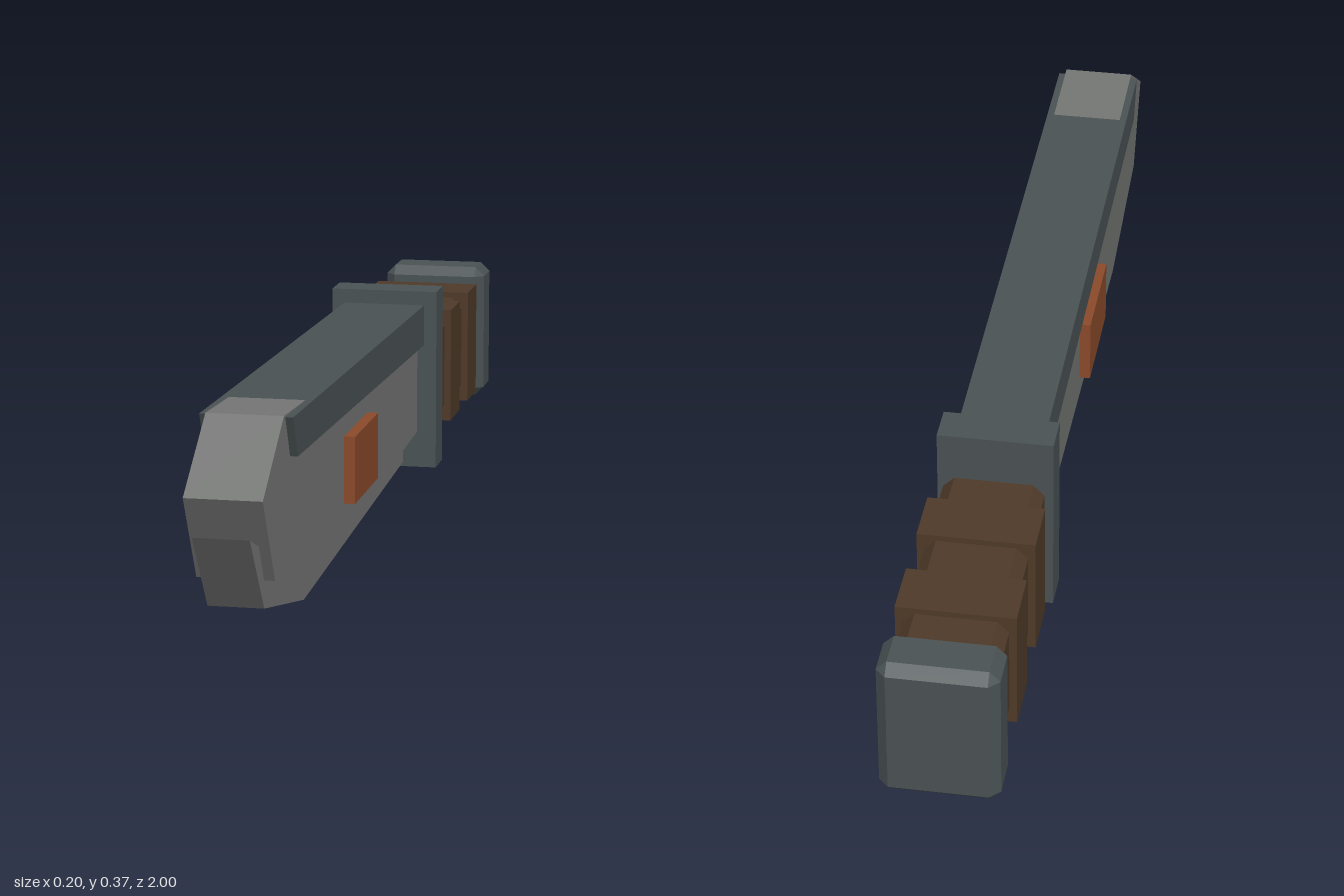
import * as THREE from 'three';
import { ConvexGeometry } from 'three/addons/geometries/ConvexGeometry.js';

function material(name, color) {
  const m = new THREE.MeshStandardMaterial({ color });
  m.name = name;
  return m;
}

// Side profile of [z, y] points, extruded symmetrically across x
function profileGeometry(points, halfWidth) {
  const shape = new THREE.Shape(points.map(([z, y]) => new THREE.Vector2(z, y)));
  const geometry = new THREE.ExtrudeGeometry(shape, { depth: halfWidth * 2, bevelEnabled: false });
  return geometry.rotateY(-Math.PI / 2).translate(halfWidth, 0, 0);
}

// Box with every edge chamfered by c
function chamferedBox(w, h, d, c) {
  const points = [];
  for (const sx of [-1, 1]) for (const sy of [-1, 1]) for (const sz of [-1, 1]) {
    const x = w / 2, y = h / 2, z = d / 2;
    points.push(
      new THREE.Vector3(sx * x, sy * (y - c), sz * (z - c)),
      new THREE.Vector3(sx * (x - c), sy * y, sz * (z - c)),
      new THREE.Vector3(sx * (x - c), sy * (y - c), sz * z)
    );
  }
  return new ConvexGeometry(points);
}

export function createModel() {
  const group = new THREE.Group();
  const steel = material('blade steel', 0x747674);
  const darkSteel = material('dark steel', 0x4a5254);
  const leather = material('grip leather', 0x4f3a28);
  const copper = material('copper', 0x8b4a2b);

  const add = (name, geometry, mat, x = 0, y = 0, z = 0) => {
    const mesh = new THREE.Mesh(geometry, mat);
    mesh.name = name;
    mesh.position.set(x, y, z);
    group.add(mesh);
  };

  // Blade body, narrower cutting edge below it, wider spine on top
  add('blade', profileGeometry([
    [-0.37, 0.09], [0.6, 0.05], [0.9, 0.11], [0.985, 0.26], [0.83, 0.366], [-0.37, 0.314]
  ], 0.065), steel);
  add('cuttingEdge', profileGeometry([
    [-0.305, 0.04], [0.6, 0], [0.9, 0.063], [1, 0.2], [0.85, 0.14], [0.6, 0.1], [-0.305, 0.13]
  ], 0.047), steel);
  add('spine', profileGeometry([
    [-0.37, 0.26], [0.785, 0.29], [0.82, 0.362], [-0.37, 0.338]
  ], 0.078), darkSteel);

  // Inlay plates on both sides
  for (const side of [-1, 1]) {
    add(side > 0 ? 'leftInlay' : 'rightInlay',
      new THREE.BoxGeometry(0.03, 0.12, 0.21), copper, side * 0.07, 0.17, 0.245);
  }

  // Guard, grip with raised bands, pommel
  add('guard', new THREE.BoxGeometry(0.204, 0.345, 0.07), darkSteel, 0, 0.1925, -0.39);
  add('grip', chamferedBox(0.178, 0.2, 0.48, 0.02), leather, 0, 0.19, -0.662);
  for (const z of [-0.57, -0.768]) {
    add('gripBand', new THREE.BoxGeometry(0.204, 0.222, 0.103), leather, 0, 0.19, z);
  }
  add('pommel', chamferedBox(0.204, 0.27, 0.102, 0.018), darkSteel, 0, 0.185, -0.949);

  return group;
}
